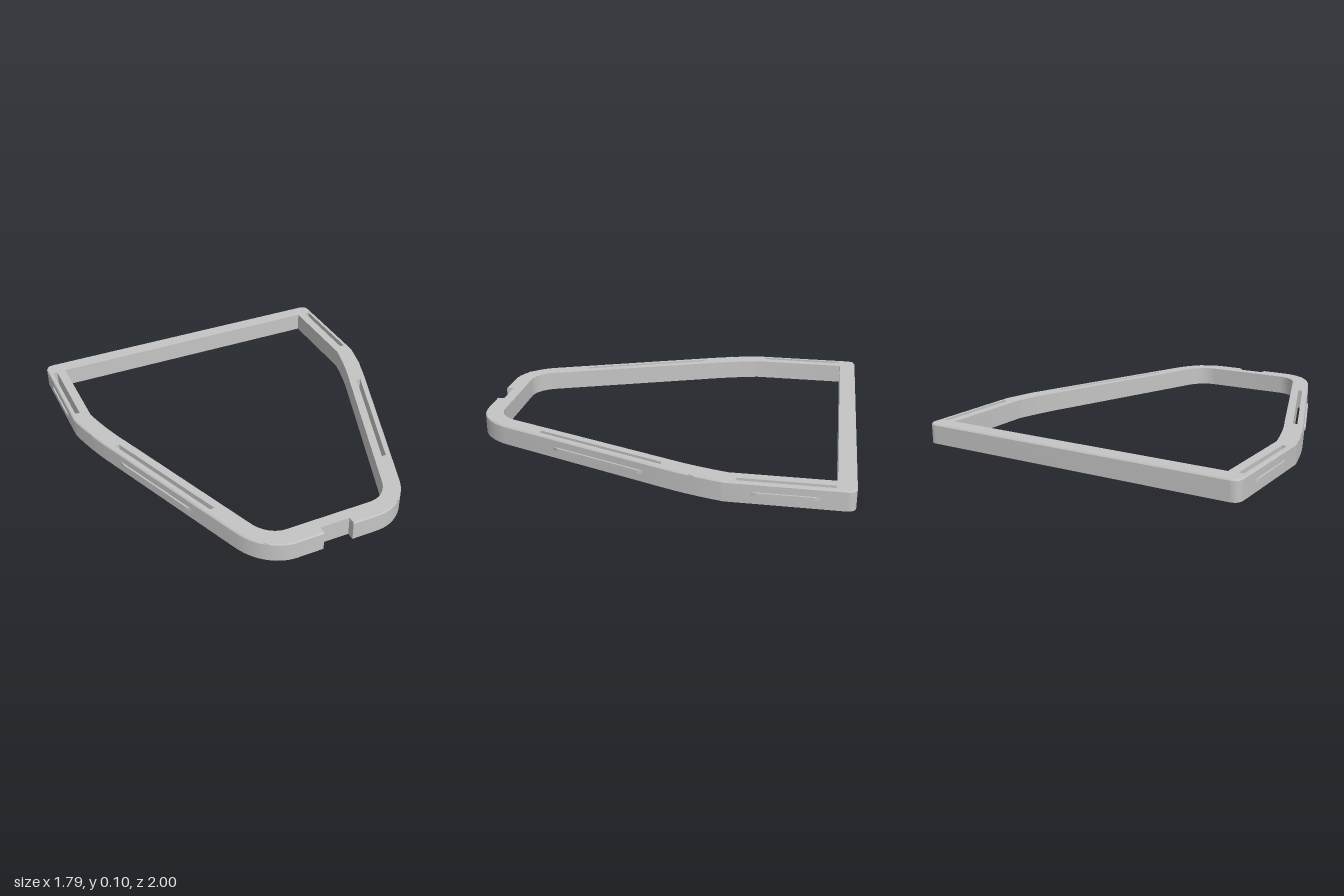
import * as THREE from 'three';
import { toCreasedNormals } from 'three/addons/utils/BufferGeometryUtils.js';

const HEIGHT = 0.104;
const EDGE = 0.005;

// Plan drawings use (x, -z); mirror a right-half path into a closed outline.
function mirrored(path) {
  const half = path.getPoints(14);
  const other = half.map((p) => new THREE.Vector2(-p.x, p.y)).reverse();
  return [...half, ...other];
}

const polygon = (pts) => pts.map(([x, z]) => new THREE.Vector2(x, -z));
const key = (x, y) => x.toFixed(4) + ',' + y.toFixed(4);

function outerOutline() {
  const p = new THREE.Path();
  p.moveTo(0.84, 1);
  p.quadraticCurveTo(0.888, 1, 0.888, 0.95);
  p.lineTo(0.888, 0.39);
  p.quadraticCurveTo(0.854, 0.23, 0.793, 0.07);
  p.lineTo(0.457, -0.82);
  p.bezierCurveTo(0.412, -0.93, 0.32, -1, 0.22, -1);
  p.lineTo(0.08, -1);
  p.lineTo(0.08, -0.96); // notch in the front edge
  return mirrored(p);
}

function innerOutline() {
  const p = new THREE.Path();
  p.moveTo(0.79, 0.91);
  p.lineTo(0.79, 0.4);
  p.quadraticCurveTo(0.752, 0.23, 0.692, 0.08);
  p.lineTo(0.365, -0.8);
  p.bezierCurveTo(0.34, -0.86, 0.29, -0.9, 0.23, -0.9);
  return mirrored(p);
}

// Frame with through slots and a softened outer top edge
function frameGeometry() {
  const outline = outerOutline();
  // Counter-clockwise outline, so that the hole walls face into the holes
  const shape = new THREE.Shape([...outline].reverse());
  const slots = [
    [[0.84, -0.905], [0.865, -0.905], [0.865, -0.445], [0.84, -0.445]],
    [[0.735, -0.07], [0.759, -0.07], [0.503, 0.615], [0.479, 0.615]],
  ];
  const holes = [innerOutline()];
  for (const s of slots) {
    holes.push(polygon(s), polygon(s.map(([x, z]) => [-x, z])));
  }
  shape.holes = holes.map((h) => new THREE.Path(h));
  const geo = new THREE.ExtrudeGeometry(shape, { depth: HEIGHT, steps: 2, bevelEnabled: false });

  // Inward shift for every point of the outer outline
  const shift = new Map();
  const n = outline.length;
  outline.forEach((p, i) => {
    if (Math.abs(p.x) < 0.09) {
      shift.set(key(p.x, p.y), new THREE.Vector2(0, p.y < -0.99 ? EDGE : 0));
      return;
    }
    const d = outline[(i + 1) % n].clone().sub(outline[(i + n - 1) % n]).normalize();
    shift.set(key(p.x, p.y), new THREE.Vector2(d.y, -d.x).multiplyScalar(EDGE));
  });
  const pos = geo.attributes.position;
  for (let i = 0; i < pos.count; i++) {
    const z = pos.getZ(i);
    const s = shift.get(key(pos.getX(i), pos.getY(i)));
    if (z > HEIGHT * 0.9 && s) pos.setXY(i, pos.getX(i) + s.x, pos.getY(i) + s.y);
    else if (z > HEIGHT * 0.3 && z < HEIGHT * 0.7) pos.setZ(i, HEIGHT - 0.007);
  }
  geo.rotateX(-Math.PI / 2);
  return toCreasedNormals(geo, 0.5);
}

// Thin tapered ridge along the outer wall between plan points a and b
function ridgeGeometry(a, b, side) {
  const A = new THREE.Vector2(...a);
  const B = new THREE.Vector2(...b);
  const t = B.clone().sub(A).normalize();
  const out = new THREE.Vector2(t.y, -t.x);
  const at = (p, along, off) => p.clone().addScaledVector(t, along).addScaledVector(out, off);
  const pts = [at(A, 0, -0.004), at(A, 0.04, 0.008), at(B, -0.04, 0.008), at(B, 0, -0.004)];
  const shape = new THREE.Shape(polygon(pts.map((p) => [p.x * side, p.y])));
  const geo = new THREE.ExtrudeGeometry(shape, { depth: 0.018, bevelEnabled: false });
  geo.rotateX(-Math.PI / 2);
  geo.translate(0, 0.043, 0);
  return geo;
}

export function createModel() {
  const group = new THREE.Group();
  group.name = 'slottedFrame';
  const grey = new THREE.MeshStandardMaterial({ color: 0xc4c4c4 });
  grey.name = 'lightGrey';

  const add = (name, geo) => {
    const mesh = new THREE.Mesh(geo, grey);
    mesh.name = name;
    group.add(mesh);
  };

  add('frame', frameGeometry());
  for (const side of [1, -1]) {
    const label = side > 0 ? 'left' : 'right';
    add(label + 'RearClipRidge', ridgeGeometry([0.888, -0.85], [0.888, -0.5], side));
    add(label + 'FrontClipRidge', ridgeGeometry([0.764, 0.01], [0.566, 0.535], side));
  }
  return group;
}
